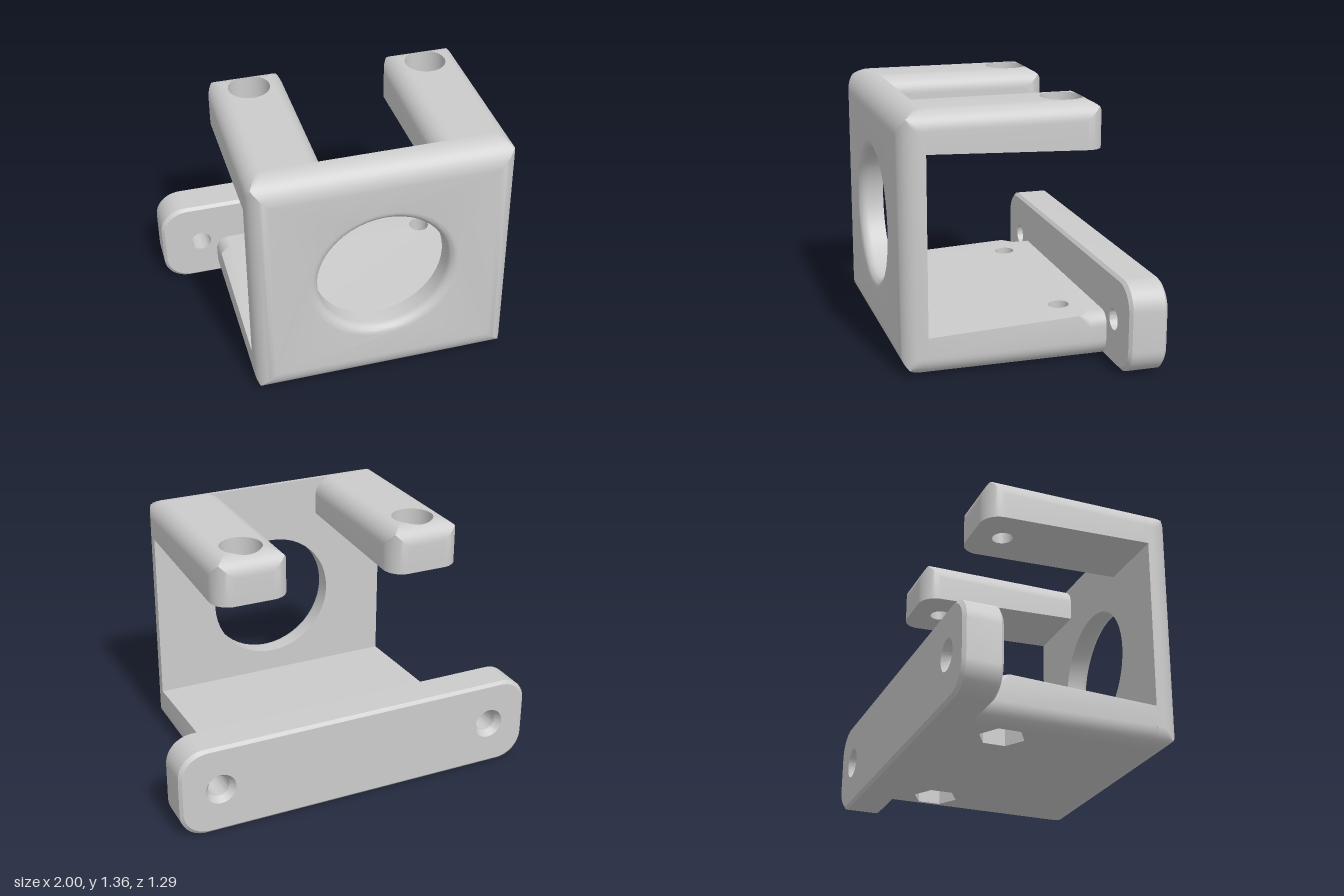
import * as THREE from 'three';
import { toCreasedNormals } from 'three/addons/utils/BufferGeometryUtils.js';

const material = new THREE.MeshStandardMaterial({ color: 0xcccccc });
const SIDES = 48;
const clamp = THREE.MathUtils.clamp;
const range = (n) => Array.from({ length: n + 1 }, (_, i) => i / n);
const quarter = (n) => range(n).map((t) => t * Math.PI / 2);

// Counter-clockwise rectangle; radii are for the upper and the lower corners.
function outline(x0, y0, x1, y1, rTop, rLow, cuts = 1) {
  const corners = [[x1, y1, rTop, -1, -1], [x0, y1, rTop, 1, -1], [x0, y0, rLow, 1, 1], [x1, y0, rLow, -1, 1]];
  const pts = [];
  corners.forEach(([x, y, r, sx, sy], k) => {
    for (const a of quarter(r ? 12 : 1).slice(0, r ? 13 : 1)) {
      const t = a + k * Math.PI / 2;
      pts.push([x + sx * r + r * Math.cos(t), y + sy * r + r * Math.sin(t)]);
    }
    // extra points along the straight edge to the next corner
    const [nx, ny, nr] = corners[(k + 1) % 4];
    const t = (k + 1) * Math.PI / 2;
    const from = pts[pts.length - 1];
    const to = [nx + corners[(k + 1) % 4][3] * nr + nr * Math.cos(t), ny + corners[(k + 1) % 4][4] * nr + nr * Math.sin(t)];
    for (let i = 1; i < cuts; i++) {
      pts.push([from[0] + (to[0] - from[0]) * i / cuts, from[1] + (to[1] - from[1]) * i / cuts]);
    }
  });
  return pts;
}

// Radius of a hexagon at an angle.
function hexRadius(R, t) {
  const s = Math.PI / 3;
  return R * Math.cos(s / 2) / Math.cos(((t + s / 2) % s) - s / 2);
}

// One ring of a bore; the depth may follow a sloping surface.
function ring(cx, cy, r, w, hex) {
  return Array.from({ length: SIDES }, (_, i) => {
    const t = i / SIDES * Math.PI * 2;
    const q = hex ? hexRadius(r, t) : r;
    const x = cx + q * Math.cos(t), y = cy + q * Math.sin(t);
    return [x, y, typeof w === 'function' ? w(x, y) : w];
  });
}

// Closed solid from stacked loops, with bores running from first to last loop.
function solid(name, loops, bores, upright) {
  const pos = [];
  const tri = (a, b, c) => {
    const A = new THREE.Vector3(...a), B = new THREE.Vector3(...b), C = new THREE.Vector3(...c);
    if (B.sub(A).cross(C.sub(A)).length() > 1e-9) pos.push(...a, ...b, ...c);
  };
  const walls = (rows, inward) => {
    for (let i = 0; i + 1 < rows.length; i++) {
      const n = rows[i].length;
      for (let j = 0; j < n; j++) {
        const k = (j + 1) % n;
        const [a, b, c, d] = [rows[i][j], rows[i][k], rows[i + 1][k], rows[i + 1][j]];
        if (inward) { tri(a, c, b); tri(a, d, c); } else { tri(a, b, c); tri(a, c, d); }
      }
    }
  };
  const cap = (loop, holes, up) => {
    const flat = (l) => l.map((p) => new THREE.Vector2(p[0], p[1]));
    const all = [loop, ...holes].flat();
    for (const [i, j, k] of THREE.ShapeUtils.triangulateShape(flat(loop), holes.map(flat))) {
      const [a, b, c] = [all[i], all[j], all[k]];
      const ccw = (b[0] - a[0]) * (c[1] - a[1]) - (b[1] - a[1]) * (c[0] - a[0]) > 0;
      if (ccw === up) tri(a, b, c); else tri(a, c, b);
    }
  };
  walls(loops, false);
  bores.forEach((b) => walls(b, true));
  cap(loops[0], bores.map((b) => b[0]), false);
  cap(loops[loops.length - 1], bores.map((b) => b[b.length - 1]), true);

  const geo = new THREE.BufferGeometry();
  geo.setAttribute('position', new THREE.Float32BufferAttribute(pos, 3));
  if (upright) geo.rotateX(-Math.PI / 2); // local y becomes -z, local z becomes y
  const mesh = new THREE.Mesh(toCreasedNormals(geo, 0.55), material);
  mesh.name = name;
  return mesh;
}

// Front plate with rounded front edges and a large flared opening.
function frontPlate() {
  const W = 0.69, H = 1.36, base = outline(-W, 0, W, H, 0.1, 0.1);
  const fall = (r, d) => r - Math.sqrt(Math.max(0, r * r - d * d));
  const loops = quarter(12).map((a) => {
    const z = 0.51 + 0.135 * Math.sin(a);
    const ix = fall(0.1, Math.max(0, z - 0.545)), iy = fall(0.135, z - 0.51);
    return base.map(([x, y]) => [clamp(x, -W + ix, W - ix), clamp(y, iy, H - iy), z]);
  });
  const bore = [ring(0, 0.68, 0.35, 0.51)];
  for (const a of quarter(8)) bore.push(ring(0, 0.68, 0.4 - 0.05 * Math.cos(a), 0.595 + 0.05 * Math.sin(a)));
  return solid('frontPlate', loops, [bore], false);
}

// Sloping floor with two screw holes and hexagonal nut pockets below.
function floorPlate() {
  const W = 0.69;
  const base = [[W, 0.46], [-W, 0.46], [-W, 0.35], [-W, 0.29], [-W, -0.51], [W, -0.51], [W, 0.29], [W, 0.35]];
  const top = (x, y) => Math.min(0.245, 0.21 + (y + 0.51) * 0.044);
  const loops = quarter(8).map((a) => base.map(([x, y]) =>
    [x - Math.sign(x) * 0.1 * (1 - Math.sin(a)), y, 0.1 * (1 - Math.cos(a))]));
  // the upper side edges become round towards the back
  for (const a of quarter(8)) {
    loops.push(base.map(([x, y]) => {
      const r = y > 0.3 ? 0.07 : 0;
      return [x - Math.sign(x) * r * (1 - Math.cos(a)), y, top(x, y) - r * (1 - Math.sin(a))];
    }));
  }
  const bores = [-0.485, 0.485].map((x) => [
    ring(x, 0.245, 0.119, 0, true), ring(x, 0.245, 0.119, 0.1, true),
    ring(x, 0.245, 0.055, 0.1), ring(x, 0.245, 0.055, top)]);
  return solid('floor', loops, bores, true);
}

// Upper arm with rounded top edges and a counterbored screw hole.
function upperArm(side) {
  const cx = 0.485 * side, x0 = cx - 0.205, x1 = cx + 0.205, back = 0.415, r = 0.1;
  const base = outline(x0, -0.51, x1, back, 0.1, 0, 28);
  const under = (x, y) => 1.15 - (y + 0.51) * 0.038;
  const top = (x, y) => {
    const d = clamp(Math.min(x - x0, x1 - x, back - y), 0, r);
    return 1.26 + Math.sqrt(Math.max(0, r * r - (r - d) ** 2));
  };
  const loops = [base.map(([x, y]) => [x, y, under(x, y)])];
  for (const a of quarter(10)) {
    const inset = r * (1 - Math.cos(a));
    loops.push(base.map(([px, py]) => {
      let x = clamp(px, x0 + inset, x1 - inset), y = Math.min(py, back - inset);
      // keep the surface outside the counterbore
      const dist = Math.hypot(x - cx, y - 0.245);
      if (dist < 0.113) {
        x = cx + (x - cx) * 0.113 / dist;
        y = 0.245 + (y - 0.245) * 0.113 / dist;
      }
      return [x, y, top(x, y)];
    }));
  }
  const bore = [ring(cx, 0.245, 0.055, under), ring(cx, 0.245, 0.055, 1.22),
    ring(cx, 0.245, 0.11, 1.22), ring(cx, 0.245, 0.11, top)];
  return solid(side > 0 ? 'leftArm' : 'rightArm', loops, [bore], true);
}

// Wide mounting flange with chamfered rims and countersunk holes.
function backFlange() {
  const mid = 0.2425, base = outline(-1, 0, 1, 2 * mid, 0.14, 0.14);
  const loops = [[-0.645, 0.016], [-0.629, 0], [-0.456, 0], [-0.44, 0.016]].map(([z, c]) =>
    base.map(([x, y]) => [x * (1 - c), mid + (y - mid) * (1 - c / mid), z]));
  const bores = [-0.78, 0.78].map((x) => [
    ring(x, 0.245, 0.082, -0.645), ring(x, 0.245, 0.057, -0.61), ring(x, 0.245, 0.057, -0.44)]);
  return solid('backFlange', loops, bores, false);
}

export function createModel() {
  const group = new THREE.Group();
  group.name = 'mountingBracket';
  group.add(frontPlate(), floorPlate(), upperArm(1), upperArm(-1), backFlange());
  return group;
}
